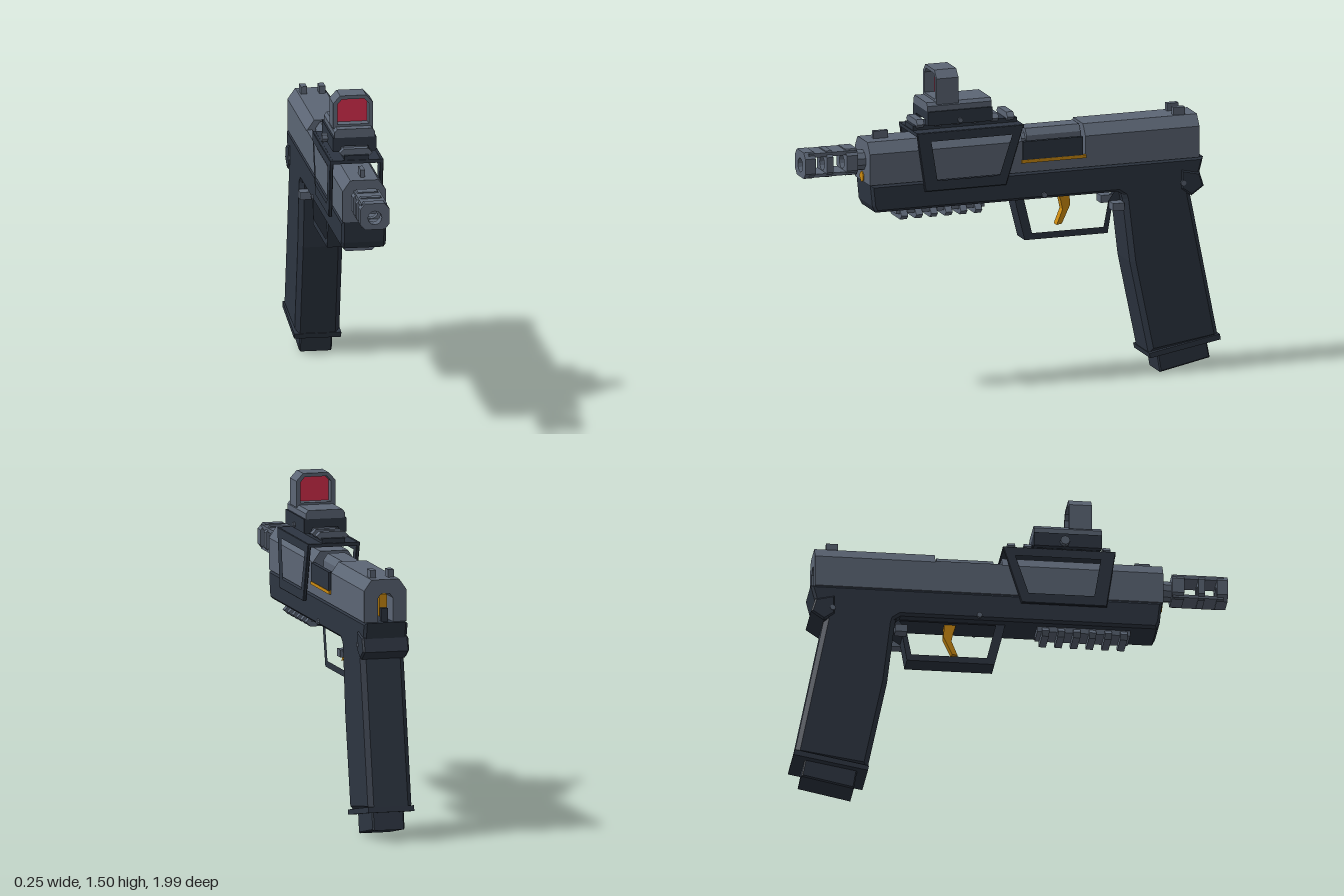
import * as THREE from 'three';

const mat = (name, color) => {
  const m = new THREE.MeshStandardMaterial({ color });
  m.name = name;
  return m;
};

export function createModel() {
  const steel = mat('slate steel', 0x5c6675);
  const polymer = mat('dark polymer', 0x2d3541);
  const gold = mat('gold', 0xcb8a10);
  const red = mat('red lens', 0xd32d4b);
  const model = new THREE.Group();
  model.name = 'pistol';

  const add = (name, geo, material) => {
    const mesh = new THREE.Mesh(geo, material);
    mesh.name = name;
    model.add(mesh);
    return mesh;
  };
  // Box given by its limits on each axis
  const box = (name, material, [x0, x1], [y0, y1], [z0, z1]) =>
    add(name, new THREE.BoxGeometry(x1 - x0, y1 - y0, z1 - z0), material)
      .position.set((x0 + x1) / 2, (y0 + y1) / 2, (z0 + z1) / 2);
  const outline = (pts) => new THREE.Shape(pts.map(([a, b]) => new THREE.Vector2(a, b)));
  const extrude = (shape, depth, bevel) => new THREE.ExtrudeGeometry(shape, {
    depth: depth - 2 * bevel, bevelEnabled: bevel > 0, bevelSize: bevel,
    bevelThickness: bevel, bevelOffset: -bevel, bevelSegments: 1, curveSegments: 6,
  });
  // Side outline in (z, y), extruded across x about the given centre
  const side = (name, material, pts, width, { bevel = 0, hole, x = 0 } = {}) => {
    const shape = outline(pts);
    if (hole) shape.holes.push(outline(hole));
    const geo = extrude(shape, width, bevel);
    geo.translate(0, 0, bevel - width / 2);
    geo.rotateY(-Math.PI / 2);
    return add(name, geo.translate(x, 0, 0), material);
  };
  // Front outline in (x, y), extruded from z0 to z1
  const front = (name, material, pts, z0, z1, hole) => {
    const shape = outline(pts);
    if (hole) shape.holes.push(hole);
    return add(name, extrude(shape, z1 - z0, 0).translate(0, 0, z0), material);
  };
  const round = (x, y, r) => new THREE.Path().absarc(x, y, r, 0, Math.PI * 2, true);
  // Faceted rod along an axis
  const rod = (name, material, r, length, axis, [x, y, z], sides = 10) => {
    let geo = new THREE.CylinderGeometry(r, r, length, sides).toNonIndexed();
    geo.computeVertexNormals();
    if (axis === 'x') geo.rotateZ(Math.PI / 2); else geo.rotateX(Math.PI / 2);
    add(name, geo, material).position.set(x, y, z);
  };

  // Slide: solid front, open port in the middle, slotted rear
  const slideTop = [[0.1, 1.145], [0.065, 1.195], [-0.065, 1.195], [-0.1, 1.145]];
  front('slideFront', steel, [[-0.1, 1], [0.1, 1], ...slideTop], -0.035, 0.7);
  front('slideRear', steel, [[0.1, 1], ...slideTop, [-0.1, 1], [-0.035, 1],
    [-0.035, 1.11], [-0.02, 1.13], [0.02, 1.13], [0.035, 1.11], [0.035, 1]], -0.89, -0.34);
  box('slideLeftWall', steel, [-0.1, -0.075], [1, 1.15], [-0.34, -0.035]);
  box('slideRightWall', steel, [0.075, 0.1], [1, 1.05], [-0.34, -0.035]);
  front('chamber', steel, [[-0.06, 1], [0.06, 1], [0.06, 1.16], [0.04, 1.19],
    [-0.04, 1.19], [-0.06, 1.16]], -0.33, -0.07);
  rod('chamberNeck', steel, 0.045, 0.05, 'z', [0, 1.13, -0.05]);
  box('portCover', polymer, [0.088, 0.108], [1.06, 1.145], [-0.325, -0.035]);
  box('portHinge', gold, [0.092, 0.11], [1.045, 1.06], [-0.34, -0.03]);
  box('striker', gold, [-0.018, 0.018], [1.02, 1.12], [-0.85, -0.8]);
  box('strikerBlock', polymer, [-0.015, 0.015], [1, 1.06], [-0.88, -0.85]);

  // Iron sights
  box('frontSight', steel, [-0.01, 0.01], [1.19, 1.23], [0.58, 0.65]);
  for (const s of [-1, 1])
    box('rearSight', steel, [s * 0.042 - 0.014, s * 0.042 + 0.014], [1.19, 1.23], [-0.835, -0.78]);

  // Barrel and windowed compensator
  rod('barrelNeck', steel, 0.048, 0.08, 'z', [0, 1.1, 0.71]);
  rod('barrelCore', gold, 0.032, 0.008, 'z', [0, 1.1, 0.75], 12);
  rod('guideRod', gold, 0.024, 0.02, 'z', [0, 1.022, 0.695]);
  const octagon = [[-0.045, 1.045], [0.045, 1.045], [0.068, 1.07], [0.068, 1.14],
    [0.045, 1.167], [-0.045, 1.167], [-0.068, 1.14], [-0.068, 1.07]];
  for (const [z0, z1] of [[0.745, 0.8], [0.865, 0.895], [0.95, 1]])
    front('compensatorRing', steel, octagon, z0, z1, round(0, 1.1, 0.032));
  box('compensatorTop', steel, [-0.058, 0.058], [1.143, 1.162], [0.75, 0.98]);
  box('compensatorBottom', steel, [-0.058, 0.058], [1.05, 1.065], [0.75, 0.98]);

  // Frame, grip and magazine
  side('frame', polymer, [[0.695, 1], [0.685, 0.9], [0.67, 0.87], [-0.5, 0.87], [-0.6, 0.8],
    [-0.85, 0.83], [-0.89, 0.92], [-0.91, 1]], 0.205, { bevel: 0.012 });
  side('beavertail', polymer, [[-0.8, 0.95], [-0.89, 0.93], [-0.91, 0.866], [-0.85, 0.825],
    [-0.8, 0.86]], 0.218, { bevel: 0.008 });
  side('grip', polymer, [[-0.5, 0.92], [-0.525, 0.83], [-0.56, 0.535], [-0.65, 0.1],
    [-0.985, 0.15], [-0.85, 0.83], [-0.84, 0.92]], 0.205, { bevel: 0.022 });
  side('magwell', polymer, [[-0.645, 0.105], [-0.65, 0.082], [-0.99, 0.142], [-0.985, 0.168]], 0.216);
  side('magazineBase', polymer, [[-0.69, 0.12], [-0.71, 0.004], [-0.95, 0.053], [-0.93, 0.16]],
    0.15, { bevel: 0.006 });
  for (const s of [-1, 1]) {
    const a = s < 0 ? [-0.11, -0.055] : [0.055, 0.11];
    box('magazineCatch', steel, a, [0.785, 0.82], [-0.525, -0.47]);
  }
  for (const z of [-0.14, -0.81]) rod('framePin', steel, 0.013, 0.222, 'x', [0, 0.888, z], 8);

  // Trigger and its guard
  side('triggerGuard', polymer, [[-0.015, 0.88], [-0.025, 0.83], [-0.065, 0.67], [-0.465, 0.67],
    [-0.485, 0.79], [-0.53, 0.82], [-0.53, 0.88]], 0.1,
  { hole: [[-0.06, 0.865], [-0.1, 0.7], [-0.445, 0.7], [-0.468, 0.82], [-0.5, 0.865]] });
  side('trigger', gold, [[-0.235, 0.88], [-0.29, 0.88], [-0.295, 0.81], [-0.255, 0.725],
    [-0.23, 0.72], [-0.258, 0.79], [-0.25, 0.83]], 0.04);

  // Accessory rail under the frame
  box('lowerRail', steel, [-0.055, 0.055], [0.845, 0.875], [0.13, 0.555]);
  for (let i = 0; i < 6; i++) {
    const z = 0.524 - i * 0.0715;
    front('lowerRailTooth', steel, [[-0.06, 0.82], [0.06, 0.82], [0.08, 0.84], [0.06, 0.862],
      [-0.06, 0.862], [-0.08, 0.84]], z - 0.016, z + 0.016);
  }

  // Optic mount: windowed side plates joined by a top plate
  for (const s of [-1, 1])
    side('mountSide', polymer, [[0.48, 1.23], [0.475, 1.19], [0.44, 0.955], [0.05, 0.955],
      [-0.035, 1.23]], 0.016, {
      x: s * 0.115, bevel: 0.003,
      hole: [[0.415, 1.19], [0.385, 1], [0.08, 1], [0.018, 1.19]],
    });
  box('mountTop', polymer, [-0.122, 0.122], [1.213, 1.229], [-0.035, 0.48]);
  box('mountRail', polymer, [-0.055, 0.055], [1.228, 1.25], [-0.025, 0.475]);
  for (const z of [0.445, 0.356, 0.267, 0.178, 0.085, 0.01])
    front('mountRailTooth', steel, [[-0.055, 1.24], [0.055, 1.24], [0.075, 1.258], [0.055, 1.278],
      [-0.055, 1.278], [-0.075, 1.258]], z - 0.017, z + 0.017);

  // Reflex sight: clamp, body, hood and lens
  front('sightClamp', polymer, [[-0.1, 1.255], [-0.07, 1.255], [-0.06, 1.28], [0.06, 1.28],
    [0.07, 1.255], [0.1, 1.255], [0.1, 1.32], [-0.1, 1.32]], 0.11, 0.42);
  front('sightBody', steel, [[-0.092, 1.32], [0.092, 1.32], [0.092, 1.345], [0.08, 1.36],
    [-0.08, 1.36], [-0.092, 1.345]], 0.11, 0.42);
  front('sightHood', steel, [[-0.092, 1.35], [0.092, 1.35], [0.092, 1.47], [0.06, 1.505],
    [-0.06, 1.505], [-0.092, 1.47]], 0.27, 0.375,
  outline([[-0.072, 1.37], [-0.072, 1.465], [-0.052, 1.488], [0.052, 1.488], [0.072, 1.465], [0.072, 1.37]]));
  box('lens', red, [-0.073, 0.073], [1.368, 1.489], [0.318, 0.326]);
  rod('clampKnob', steel, 0.022, 0.03, 'x', [-0.11, 1.277, 0.25], 8);
  rod('clampBolt', steel, 0.012, 0.012, 'x', [0.104, 1.272, 0.265], 8);

  return model;
}
